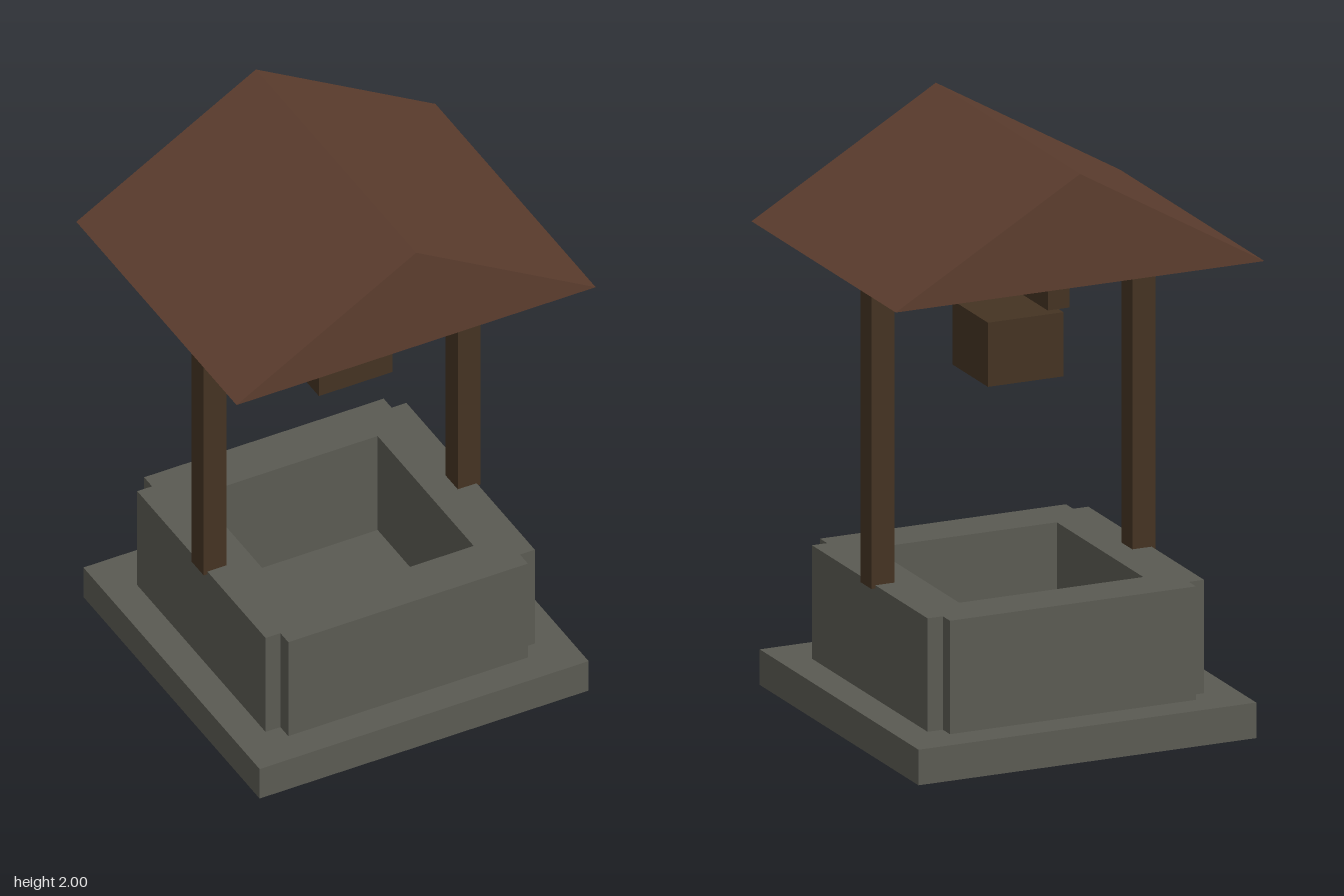
import * as THREE from 'three';

const material = (color) => new THREE.MeshStandardMaterial({ color, flatShading: true });

export function createModel() {
  const well = new THREE.Group();
  well.name = 'well';
  const stone = material(0x5a5a52);
  const wood = material(0x443322);
  const shingle = material(0x5c3d2e);

  const add = (name, geometry, mat) => {
    const mesh = new THREE.Mesh(geometry, mat);
    mesh.name = name;
    well.add(mesh);
    return mesh;
  };
  // Box centred on (x, z), spanning y0 to y1
  const box = (name, mat, w, d, y0, y1, x = 0, z = 0) =>
    add(name, new THREE.BoxGeometry(w, y1 - y0, d), mat).position.set(x, (y0 + y1) / 2, z);

  // Stone base slab
  box('base', stone, 1.222, 1.222, 0, 0.122);

  // Four walls, slightly short of the corners so each corner is notched
  const length = 0.89, thickness = 0.167, offset = 0.4165;
  for (const s of [1, -1]) {
    box(s > 0 ? 'frontWall' : 'backWall', stone, length, thickness, 0.122, 0.511, 0, s * offset);
    box(s > 0 ? 'leftWall' : 'rightWall', stone, thickness, length, 0.122, 0.511, s * offset, 0);
    // Roof posts standing on the side walls
    box(s > 0 ? 'leftPost' : 'rightPost', wood, 0.084, 0.084, 0.5, 1.613, s * 0.472, 0);
  }

  // Crossbeam and bucket
  box('crossbeam', wood, 0.078, 0.778, 1.49, 1.568);
  box('bucket', wood, 0.274, 0.274, 1.17, 1.39);

  // Solid gabled roof with its ridge running front to back
  const gable = new THREE.Shape([
    new THREE.Vector2(-0.667, 1.613),
    new THREE.Vector2(0.667, 1.613),
    new THREE.Vector2(0, 2),
  ]);
  const depth = 1.111;
  const roof = new THREE.ExtrudeGeometry(gable, { depth, bevelEnabled: false });
  add('roof', roof.translate(0, 0, -depth / 2), shingle);

  return well;
}
